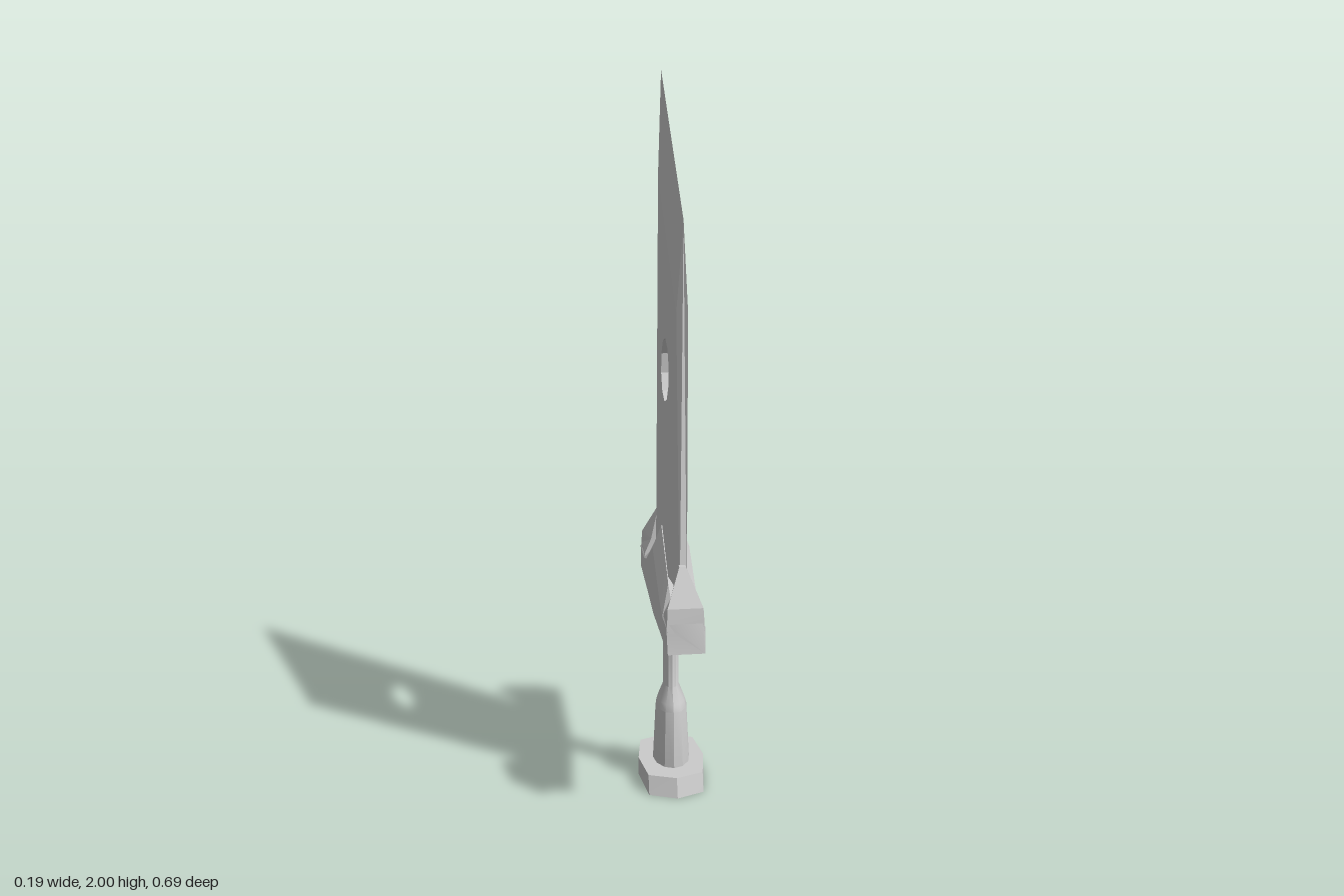
import * as THREE from 'three';
import { toCreasedNormals } from 'three/addons/utils/BufferGeometryUtils.js';

const material = new THREE.MeshStandardMaterial({ color: 0xcccccc });

function part(name, geometry, crease = 0.6) {
  const mesh = new THREE.Mesh(toCreasedNormals(geometry, crease), material);
  mesh.name = name;
  return mesh;
}

// Skin a row of matching rings; rings run counter-clockwise about the direction of travel.
function loft(rings, caps = true) {
  const n = rings[0].length;
  const index = [];
  for (let r = 0; r < rings.length - 1; r++) {
    for (let i = 0; i < n; i++) {
      const a = r * n + i, b = r * n + (i + 1) % n;
      index.push(a, b, b + n, a, b + n, a + n);
    }
  }
  if (caps) {
    const last = (rings.length - 1) * n;
    for (let i = 1; i < n - 1; i++) {
      index.push(0, i + 1, i, last, last + i, last + i + 1);
    }
  }
  const g = new THREE.BufferGeometry();
  g.setAttribute('position', new THREE.Float32BufferAttribute(rings.flat(2), 3));
  g.setIndex(index);
  return g;
}

function createBlade() {
  const blade = new THREE.Group();
  blade.name = 'blade';
  const thickness = (y) => 0.027 - 0.0143 * (y - 0.6);

  // Corners as [z, y]: the sharp outline and the ridge line inside it
  const edge = [[0.197, 0.58], [-0.19, 0.58], [-0.224, 2], [0.264, 1.66]];
  const ridge = [[0.14, 0.58], [-0.137, 0.58], [-0.205, 1.72], [0.24, 1.42]];
  const hole = [];
  for (let i = 0; i < 10; i++) {
    const a = (i + 0.5) * Math.PI / 5;
    hole.push([0.012 - 0.088 * Math.cos(a), 1.215 + 0.088 * Math.sin(a)]);
  }
  const ring = (points, side) => points.map(([z, y]) => [side * thickness(y), y, z]);
  blade.add(part('bladeBevels', loft([ring(ridge, -1), ring(edge, 0), ring(ridge, 1)], false), 0.05));
  blade.add(part('bladeHoleWall', loft([ring(hole, 1), ring(hole, -1)], false)));

  // Pierced flat faces on both sides
  const toVectors = (points) => points.map(([z, y]) => new THREE.Vector2(-z, y));
  const shape = new THREE.Shape(toVectors(ridge));
  shape.holes.push(new THREE.Path(toVectors(hole)));
  for (const side of [1, -1]) {
    const face = new THREE.ShapeGeometry(shape).rotateY(Math.PI / 2);
    const p = face.attributes.position;
    for (let i = 0; i < p.count; i++) p.setX(i, side * thickness(p.getY(i)));
    if (side < 0) face.index.array.reverse();
    blade.add(part('bladeFace', face));
  }
  return blade;
}

function createGuard() {
  const guard = new THREE.Group();
  guard.name = 'guard';

  // Half of the crossbar: z at the bottom, z at the top, bottom, shoulder and crest heights, crest half width
  const half = [
    [0, 0, 0.5, 0.7, 0.765, 0.027],
    [0.17, 0.17, 0.511, 0.605, 0.655, 0.028],
    [0.235, 0.235, 0.514, 0.585, 0.61, 0.025],
    [0.345, 0.33, 0.52, 0.59, 0.6, 0.045],
  ];
  const mirrored = half.slice(1).reverse().map(([a, b, ...rest]) => [-a, -b, ...rest]);
  const rings = [...mirrored, ...half].map(([zb, zt, yb, ys, yc, xc]) => [
    [0.05, yb, zb], [0.052, ys, zt], [xc, yc, zt],
    [-xc, yc, zt], [-0.052, ys, zt], [-0.05, yb, zb],
  ]);
  guard.add(part('crossbar', loft(rings), 0.3));

  // Upturned horn at each end: height, inner z, outer z, inner and outer half width
  const levels = [
    [0.57, 0.235, 0.334, 0.05, 0.05],
    [0.6, 0.238, 0.33, 0.048, 0.05],
    [0.64, 0.243, 0.322, 0.03, 0.048],
    [0.735, 0.245, 0.26, 0.009, 0.009],
  ];
  const hornRings = levels.map(([y, zi, zo, xi, xo]) => [[-xo, y, zo], [xo, y, zo], [xi, y, zi], [-xi, y, zi]]);
  for (const turn of [0, Math.PI]) {
    const horn = part('horn', loft(hornRings), 0.3);
    horn.rotation.y = turn;
    guard.add(horn);
  }
  return guard;
}

function createHandle() {
  const handle = new THREE.Group();
  handle.name = 'handle';

  // Flattened grip, flaring towards the pommel
  const profile = [[0.081, 0.04], [0.068, 0.22], [0.06, 0.24], [0.034, 0.285], [0.034, 0.53]]
    .map(([r, y]) => new THREE.Vector2(r, y));
  handle.add(part('grip', new THREE.LatheGeometry(profile, 12).scale(0.66, 1, 1)));

  // Eight-cornered pommel plate, narrower in z at the top
  const plate = (y, zs, ze) => [
    [0, y, ze], [0.078, y, zs], [0.095, y, 0], [0.078, y, -zs],
    [0, y, -ze], [-0.078, y, -zs], [-0.095, y, 0], [-0.078, y, zs],
  ];
  handle.add(part('pommel', loft([plate(0, 0.132, 0.163), plate(0.053, 0.113, 0.142)]), 0.3));
  return handle;
}

export function createModel() {
  const model = new THREE.Group();
  model.name = 'dagger';
  model.add(createBlade(), createGuard(), createHandle());
  return model;
}
